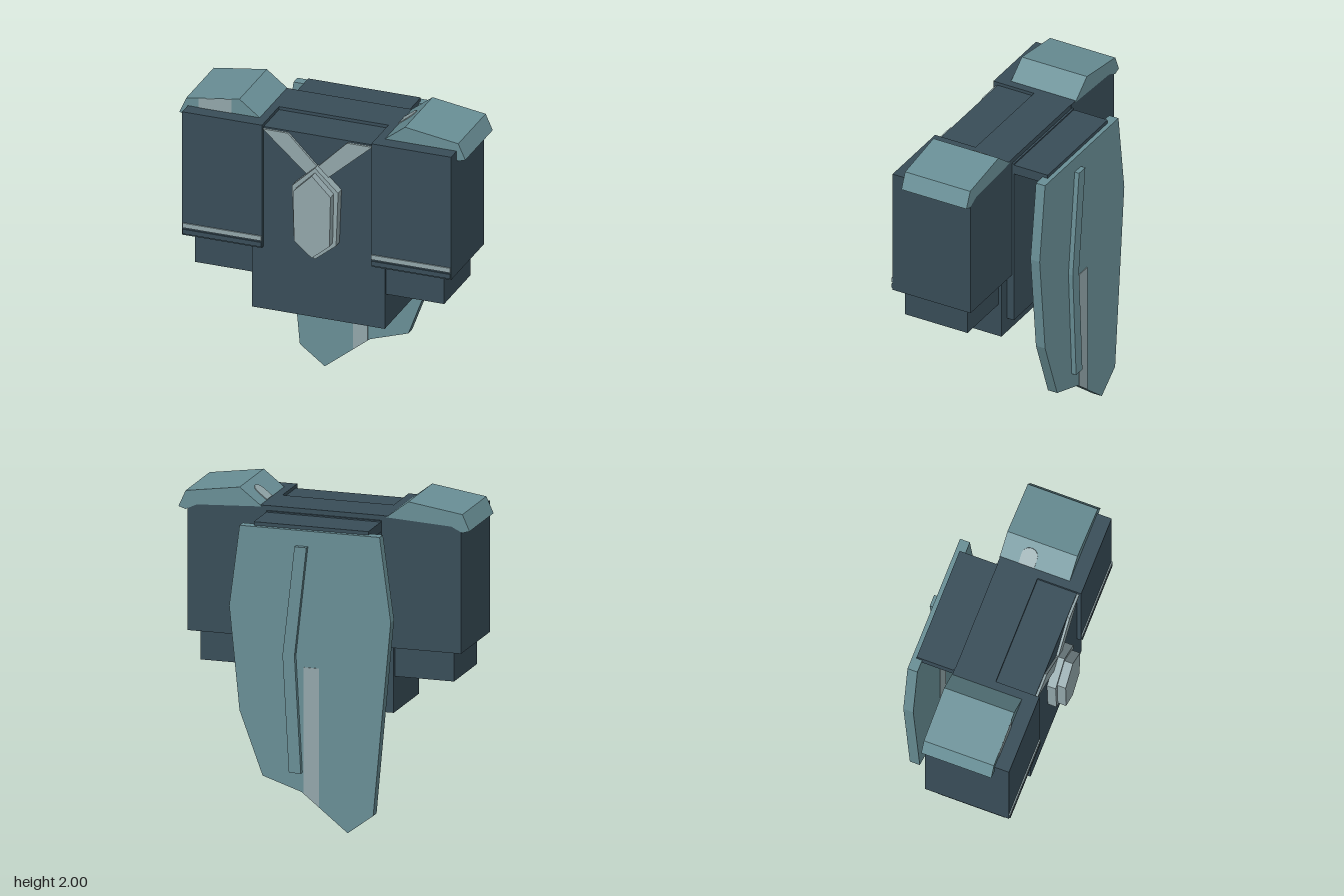
import * as THREE from 'three';

export function createModel() {
  const root = new THREE.Group();
  root.name = 'armouredTorso';
  const mat = (name, color) => {
    const m = new THREE.MeshStandardMaterial({ color });
    m.name = name;
    return m;
  };
  const dark = mat('dark slate', 0x394e59);
  const teal = mat('teal', 0x6a9097);
  const pale = mat('pale grey', 0x94a8ac);

  const add = (name, geometry, material) => {
    const mesh = new THREE.Mesh(geometry, material);
    mesh.name = name;
    root.add(mesh);
    return mesh;
  };
  // Box given by its limits on each axis
  const box = (name, material, [x0, x1], [y0, y1], [z0, z1]) =>
    add(name, new THREE.BoxGeometry(x1 - x0, y1 - y0, z1 - z0)
      .translate((x0 + x1) / 2, (y0 + y1) / 2, (z0 + z1) / 2), material);
  // Outline in x and y, extruded from z0 to z1
  const plate = (name, material, points, z0, z1) => {
    const shape = new THREE.Shape(points.map(([x, y]) => new THREE.Vector2(x, y)));
    const g = new THREE.ExtrudeGeometry(shape, { depth: z1 - z0, bevelEnabled: false });
    return add(name, g.translate(0, 0, z0), material);
  };
  const mirror = (points, s) => points.map(([x, y]) => [x * s, y]);

  // Torso with a slightly sunken chest top, and the back plate
  box('torso', dark, [-0.425, 0.425], [0.68, 1.88], [-0.12, 0.35]);
  box('collar', dark, [-0.4, 0.4], [1.7, 1.9], [-0.155, 0.1]);
  box('backPlate', dark, [-0.36, 0.36], [0.775, 1.87], [-0.168, -0.11]);
  box('capeBracket', dark, [-0.36, 0.36], [1.8, 1.862], [-0.4, -0.16]);

  for (const s of [-1, 1]) {
    const side = s > 0 ? 'left' : 'right';
    const span = (a, b) => (s > 0 ? [a, b] : [-b, -a]);
    // Sleeve, forearm and cuff bands
    box(side + 'UpperArm', dark, span(0.35, 0.86), [1.09, 1.9], [-0.157, 0.378]);
    box(side + 'Forearm', dark, span(0.42, 0.797), [0.9, 1.1], [-0.1, 0.33]);
    box(side + 'CuffStripe', pale, span(0.352, 0.856), [1.14, 1.17], [0.377, 0.386]);
    box(side + 'CuffTrim', dark, span(0.352, 0.856), [1.1, 1.13], [0.377, 0.386]);
    // Angular shoulder pad
    plate(side + 'ShoulderPad', teal, mirror([
      [0.39, 1.892], [0.53, 2], [0.87, 1.95], [0.915, 1.85], [0.87, 1.836], [0.8, 1.87],
    ], s), -0.16, 0.286);
    // Chest strap
    plate(side + 'ChestStrap', pale, mirror([
      [0.35, 1.87], [0.19, 1.87], [0, 1.68], [0, 1.56],
    ], s), 0.345, 0.365);
  }

  // Pale patches on the shoulder pads
  plate('shoulderFrontPatch', pale,
    [[-0.79, 1.9], [-0.58, 1.9], [-0.58, 1.991], [-0.79, 1.96]], 0.283, 0.289);
  const tongue = new THREE.Shape();
  tongue.moveTo(0, -0.05);
  tongue.lineTo(0.065, -0.05);
  tongue.absarc(0.065, 0, 0.05, -Math.PI / 2, Math.PI / 2);
  tongue.lineTo(0, 0.05);
  add('shoulderSlopePatch', new THREE.ExtrudeGeometry(tongue, { depth: 0.006, bevelEnabled: false })
    .rotateX(-Math.PI / 2).rotateZ(Math.atan2(0.108, 0.14)).translate(0.402, 1.9, 0.01), pale);

  // Chest emblem in two steps
  plate('emblemBase', pale, [[0, 1.69], [-0.148, 1.55], [-0.135, 1.2], [0, 1.09],
    [0.135, 1.2], [0.148, 1.55]], 0.345, 0.405);
  plate('emblemFace', pale, [[0, 1.66], [-0.12, 1.54], [-0.113, 1.215], [0, 1.12],
    [0.113, 1.215], [0.12, 1.54]], 0.4, 0.458);

  // Ragged back shield with a pale centre band
  plate('backShield', teal, [[0.44, 1.84], [-0.44, 1.84], [-0.51, 1.32], [-0.4, 0.12],
    [-0.24, 0], [0.05, 0.23], [0.295, 0.31], [0.44, 0.7], [0.505, 1.34]], -0.428, -0.365);
  const band = (top) => [[-0.06, top], [-0.06, 0.145], [0.035, 0.22], [0.035, top]];
  plate('shieldBandFront', pale, band(1.838), -0.367, -0.362);
  plate('shieldBandBack', pale, band(1), -0.432, -0.426);

  // Bent ridge on the back of the shield
  plate('shieldRidge', teal, [[0.01, 1.745], [0.085, 1.07], [0.045, 0.35],
    [0.12, 0.35], [0.16, 1.07], [0.085, 1.745]], -0.458, -0.42);

  return root;
}
